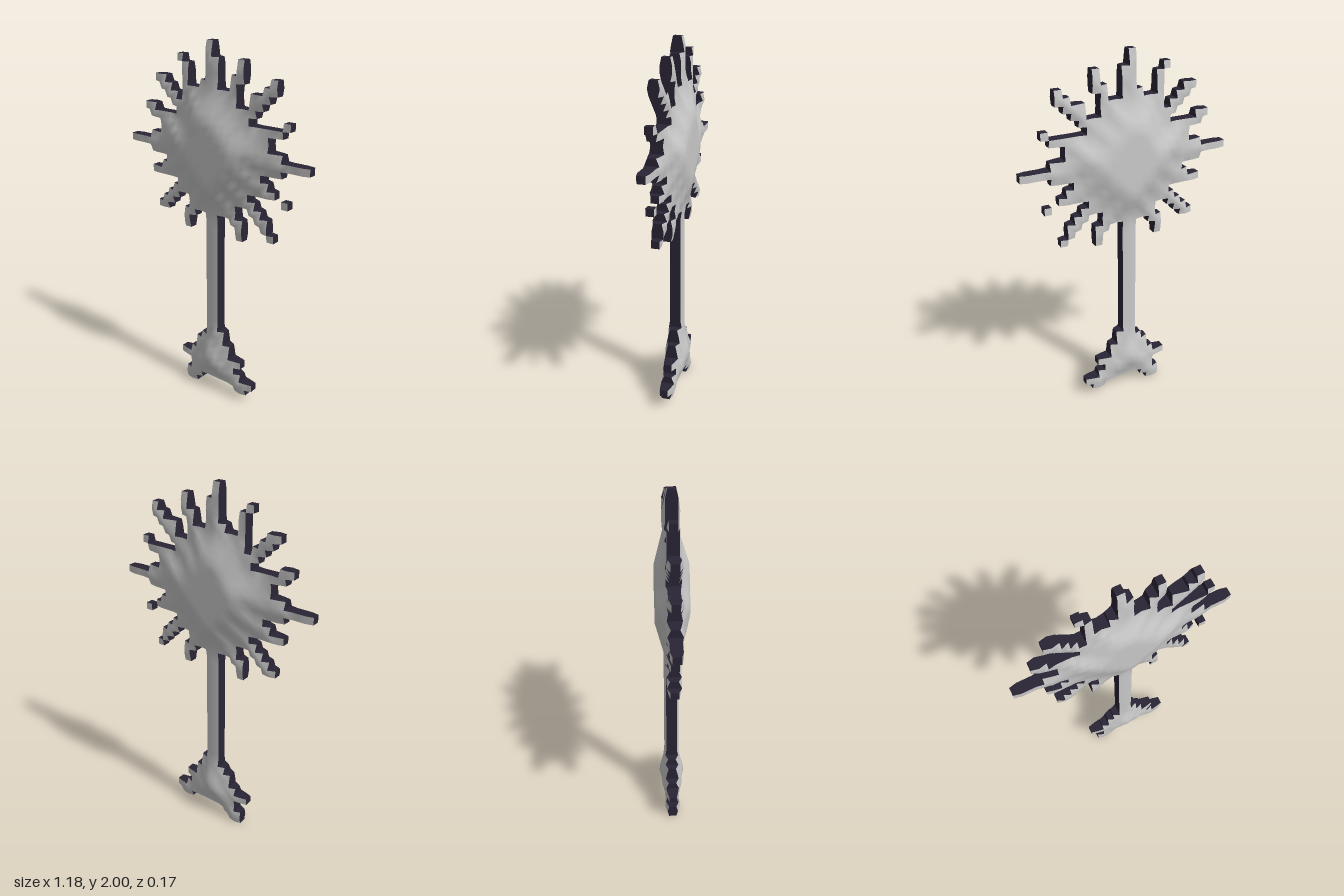
import * as THREE from 'three';

// The key is drawn on a grid of square cells, then puffed up towards the middle.
const COLS = 30, ROWS = 51, S = 2 / ROWS;

// Rectangles of filled cells: [first column, first row, last column, last row], rows from the top
const discCaps = [[11, 6, 18, 6], [12, 22, 17, 22]];
const upperRays = [
  [14, 0, 14, 1], [14, 2, 15, 6], [13, 5, 13, 6],
  [9, 2, 9, 2], [10, 3, 10, 7], [19, 2, 19, 4], [18, 4, 18, 7],
  [5, 5, 6, 5], [6, 6, 7, 6], [7, 7, 8, 7], [8, 8, 9, 8],
  [24, 4, 24, 5], [23, 5, 23, 6], [21, 6, 22, 7], [20, 8, 21, 8],
  [3, 9, 4, 9], [4, 10, 8, 10], [6, 11, 7, 11],
  [26, 9, 26, 9], [21, 10, 25, 10], [22, 11, 23, 11],
];
const lowerRays = [
  [6, 12, 23, 12], [4, 13, 25, 15], [0, 14, 29, 14],
  [6, 17, 7, 17], [4, 18, 8, 18], [22, 17, 23, 17], [21, 18, 24, 18], [26, 19, 26, 19],
  [8, 20, 9, 20], [7, 21, 8, 21], [6, 22, 7, 22], [5, 23, 6, 23],
  [20, 20, 21, 20], [21, 21, 22, 21], [22, 22, 23, 22], [23, 23, 23, 23], [24, 24, 24, 24],
  [10, 23, 10, 25], [11, 21, 11, 23], [19, 23, 19, 25], [18, 21, 18, 23],
];
const shaft = [[14, 23, 15, 40]];
const bit = [
  [14, 41, 16, 41], [13, 42, 16, 42], [12, 43, 17, 44], [11, 45, 19, 45], [9, 46, 18, 46],
  [11, 47, 19, 47], [11, 48, 21, 48], [10, 49, 12, 49], [19, 49, 20, 49], [10, 50, 11, 50],
];

// Which part each cell belongs to
function fillCells() {
  const cells = new Map();
  const put = (c, r, part) => {
    const key = r * COLS + c;
    if (!cells.has(key)) cells.set(key, { c, r, part });
  };
  const putRects = (rects, part) => {
    for (const [c0, r0, c1, r1] of rects)
      for (let r = r0; r <= r1; r++) for (let c = c0; c <= c1; c++) put(c, r, part);
  };
  for (let r = 6; r <= 22; r++)
    for (let c = 7; c <= 22; c++)
      if ((c - 14.5) ** 2 + (r - 14) ** 2 < 66) put(c, r, 'disc');
  putRects(discCaps, 'disc');
  putRects([...upperRays, ...lowerRays], 'rays');
  putRects(shaft, 'shaft');
  putRects(bit, 'bit');
  return cells;
}

// Half thickness at every grid corner: thin on the outline, thicker with distance from it
function puffHeights(cells) {
  const filled = (c, r) => c >= 0 && c < COLS && cells.has(r * COLS + c);
  const count = (c, r) => filled(c, r) + filled(c - 1, r) + filled(c, r - 1) + filled(c - 1, r - 1);
  const outline = [], heights = new Map();
  for (let r = 0; r <= ROWS; r++)
    for (let c = 0; c <= COLS; c++) {
      const n = count(c, r);
      if (n > 0 && n < 4) outline.push([c, r]);
    }
  for (let r = 0; r <= ROWS; r++)
    for (let c = 0; c <= COLS; c++) {
      const n = count(c, r);
      if (!n) continue;
      let h = 0.0435 * Math.sqrt(n / 4);
      if (n === 4) {
        const d = Math.min(4, ...outline.map(([a, b]) => Math.hypot(a - c, b - r)));
        h = 0.042 + 0.015 * (d - 1);
      }
      heights.set(r * (COLS + 1) + c, h);
    }
  const height = (c, r) => (c < 0 || c > COLS ? undefined : heights.get(r * (COLS + 1) + c));
  return { filled, height };
}

function makeGeometry(positions, normals) {
  const g = new THREE.BufferGeometry();
  g.setAttribute('position', new THREE.Float32BufferAttribute(positions, 3));
  if (normals) g.setAttribute('normal', new THREE.Float32BufferAttribute(normals, 3));
  else g.computeVertexNormals();
  return g;
}

export function createModel() {
  const group = new THREE.Group();
  group.name = 'key';
  const faceMaterial = new THREE.MeshStandardMaterial({ color: 0xcccccc });
  const edgeMaterial = new THREE.MeshStandardMaterial({ color: 0x2a2535 });
  const cells = fillCells();
  const { filled, height } = puffHeights(cells);

  const point = (c, r, side) => [(c - COLS / 2) * S, 2 - r * S, side * height(c, r)];
  // Smooth normal from the slope of the puffed surface
  const normal = (c, r, side) => {
    const h = height(c, r), at = (a, b) => height(a, b) ?? h;
    const n = new THREE.Vector3(
      (at(c - 1, r) - at(c + 1, r)) / (2 * S), (at(c, r + 1) - at(c, r - 1)) / (2 * S), 1).normalize();
    return [n.x, n.y, side * n.z];
  };

  for (const part of ['disc', 'rays', 'shaft', 'bit']) {
    const facePos = [], faceNor = [], edgePos = [];
    for (const cell of cells.values()) {
      if (cell.part !== part) continue;
      const { c, r } = cell;
      // Front and back surfaces
      const quad = [[c, r + 1], [c + 1, r + 1], [c + 1, r], [c, r]];
      for (const side of [1, -1])
        for (const i of side > 0 ? [0, 1, 2, 0, 2, 3] : [0, 2, 1, 0, 3, 2]) {
          facePos.push(...point(...quad[i], side));
          faceNor.push(...normal(...quad[i], side));
        }
      // Walls wherever the neighbouring cell is empty
      const around = [[c, r + 1], [c + 1, r], [c, r - 1], [c - 1, r]];
      around.forEach(([nc, nr], i) => {
        if (filled(nc, nr)) return;
        const a = quad[i], b = quad[(i + 1) % 4];
        const a0 = point(...a, -1), a1 = point(...a, 1), b0 = point(...b, -1), b1 = point(...b, 1);
        edgePos.push(...a0, ...b0, ...b1, ...a0, ...b1, ...a1);
      });
    }
    const surface = new THREE.Mesh(makeGeometry(facePos, faceNor), faceMaterial);
    surface.name = part + 'Faces';
    const edge = new THREE.Mesh(makeGeometry(edgePos), edgeMaterial);
    edge.name = part + 'Edges';
    const partGroup = new THREE.Group();
    partGroup.name = part;
    partGroup.add(surface, edge);
    group.add(partGroup);
  }
  return group;
}
